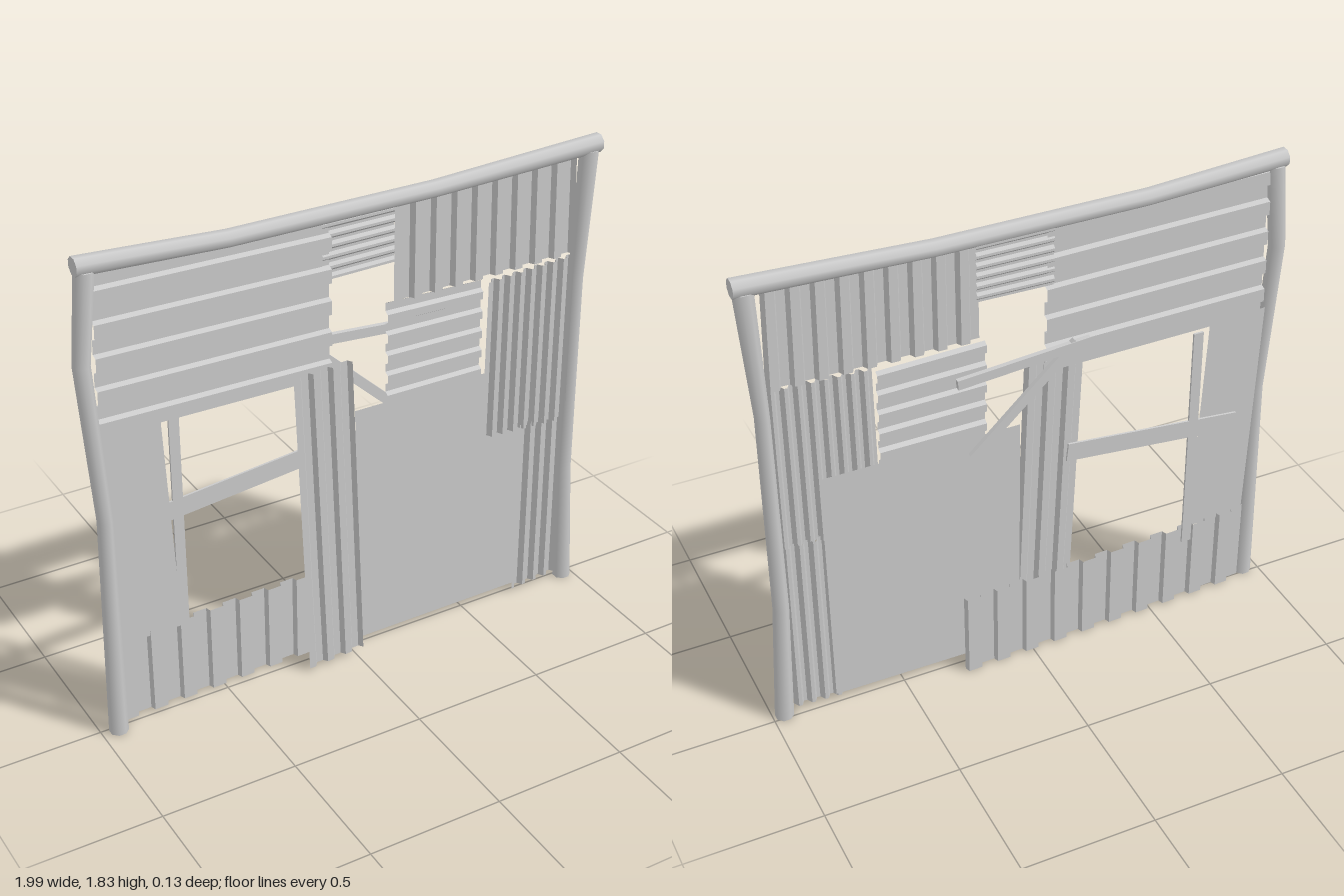
import * as THREE from 'three';

const metal = new THREE.MeshStandardMaterial({ color: 0xcccccc, side: THREE.DoubleSide, flatShading: true });
const wood = new THREE.MeshStandardMaterial({ color: 0xcccccc });

export function createModel() {
  const group = new THREE.Group();
  const add = (name, geometry, material) => {
    const mesh = new THREE.Mesh(geometry, material);
    mesh.name = name;
    group.add(mesh);
    return mesh;
  };

  // Bent pole: rings [x, y, radius] along an upright or level run
  function pole(name, rings, level) {
    const n = rings.length - 1;
    const geo = new THREE.CylinderGeometry(1, 1, n, 8, n, false, Math.PI / 8);
    const p = geo.attributes.position;
    for (let i = 0; i < p.count; i++) {
      const [x, y, r] = rings[Math.round(p.getY(i) + n / 2)];
      const s = r / Math.cos(Math.PI / 8), a = p.getX(i) * s, z = 0.019 + p.getZ(i) * 0.032 / Math.cos(Math.PI / 8);
      if (level) p.setXYZ(i, x, y - a, z);
      else p.setXYZ(i, x + a, y, z);
    }
    // Level runs need their side normals turned along with the pole
    const nor = geo.attributes.normal;
    if (level) for (let i = 0; i < nor.count; i++) nor.setXYZ(i, nor.getY(i), -nor.getX(i), nor.getZ(i));
    add(name, geo, wood);
  }

  // Folded sheet: corners bl, br, tl, tr; ribs run upright or level.
  // z0, z1: mean depth at each side; ramp: share of a half period that slopes
  function sheet(name, [bl, br, tl, tr], { upright = true, ribs, depth = 0.02, z0, z1 = z0, ramp = 0.12 }) {
    const stops = [[0, 1]];
    for (let k = 0; k < ribs * 2; k++) {
      const s = k % 2 ? -1 : 1;
      stops.push([(k + 1 - ramp) / (ribs * 2), s], [(k + 1) / (ribs * 2), -s]);
    }
    const mix = (a, b, t) => [a[0] + (b[0] - a[0]) * t, a[1] + (b[1] - a[1]) * t];
    const pos = [], idx = [];
    stops.forEach(([t, s], i) => {
      const z = z0 + (z1 - z0) * t + s * depth / 2;
      const a = upright ? mix(bl, br, t) : mix(br, tr, t);
      const b = upright ? mix(tl, tr, t) : mix(bl, tl, t);
      pos.push(...a, z, ...b, z);
      if (i) {
        const k = i * 2;
        idx.push(k - 2, k, k + 1, k - 2, k + 1, k - 1);
      }
    });
    const geo = new THREE.BufferGeometry();
    geo.setAttribute('position', new THREE.Float32BufferAttribute(pos, 3));
    geo.setIndex(idx);
    const flat = geo.toNonIndexed();
    flat.computeVertexNormals();
    add(name, flat, metal);
  }

  // Flat plate from its outline corners
  function plate(name, corners, z) {
    const geo = new THREE.ShapeGeometry(new THREE.Shape(corners.map(c => new THREE.Vector2(...c))));
    add(name, geo.translate(0, 0, z), metal);
  }

  // Batten between two points in the wall plane
  function batten(name, [x0, y0], [x1, y1], width, thick, z) {
    const mesh = add(name, new THREE.BoxGeometry(Math.hypot(x1 - x0, y1 - y0), width, thick), wood);
    mesh.position.set((x0 + x1) / 2, (y0 + y1) / 2, z);
    mesh.rotation.z = Math.atan2(y1 - y0, x1 - x0);
  }

  // Frame
  pole('rightPost', [[-0.938, 0, 0.032], [-0.932, 0.87, 0.024], [-0.972, 1.46, 0.027], [-0.94, 1.78, 0.031]]);
  pole('leftPost', [[0.957, 0, 0.032], [0.932, 0.5, 0.026], [0.932, 1.3, 0.023], [0.955, 1.78, 0.033]]);
  pole('topBeam', [[-0.975, 1.8, 0.031], [-0.45, 1.772, 0.027], [0.32, 1.772, 0.027], [0.993, 1.798, 0.032]], true);

  // Upper sheets
  sheet('upperRightSheet', [[-0.93, 1.185], [-0.075, 1.175], [-0.92, 1.77], [-0.075, 1.755]],
    { upright: false, ribs: 5, z0: 0.015 });
  sheet('upperMiddleSheet', [[-0.1, 1.53], [0.18, 1.535], [-0.1, 1.76], [0.18, 1.76]],
    { upright: false, ribs: 6, z0: 0.005, depth: 0.01, ramp: 0.5 });
  sheet('upperLeftSheet', [[0.165, 1.385], [0.91, 1.395], [0.165, 1.755], [0.9, 1.765]],
    { ribs: 9, z0: 0.015, ramp: 0.25 });

  // Sheets around the door plate
  sheet('middleSheet', [[0.16, 0.99], [0.55, 0.99], [0.155, 1.385], [0.545, 1.375]],
    { upright: false, ribs: 5, z0: -0.005, depth: 0.016, ramp: 0.25 });
  plate('doorPlate', [[0.03, 0.025], [0.76, 0.03], [0.76, 1.0], [0.025, 1.0]], 0.008);
  sheet('sideSheet', [[0.54, 0.745], [0.91, 0.725], [0.545, 1.375], [0.908, 1.392]],
    { ribs: 8, z0: 0.026, ramp: 0.5 });
  sheet('lowerSideSheet', [[0.715, 0.018], [0.915, 0.03], [0.715, 0.75], [0.91, 0.75]],
    { ribs: 4, z0: 0.018, ramp: 0.5 });

  // Sheets around the window
  plate('windowSideSheet', [[-0.89, 0.33], [-0.66, 0.33], [-0.702, 1.21], [-0.925, 1.23]], -0.012);
  sheet('frontSheet', [[-0.195, 0.008], [0.03, 0.022], [-0.245, 1.222], [-0.018, 1.232]],
    { ribs: 3, z0: 0.054, depth: 0.018, ramp: 0.3 });
  sheet('lowerSheet', [[-0.9, 0.008], [0.273, 0.003], [-0.9, 0.35], [0.273, 0.342]],
    { ribs: 10, z0: -0.016, z1: -0.053 });

  // Battens on the back
  batten('windowUpright', [-0.645, 0.28], [-0.647, 1.21], 0.038, 0.008, -0.03);
  batten('windowCrossbar', [-0.82, 0.783], [-0.14, 0.853], 0.072, 0.008, -0.03);
  batten('gapCrossbar', [-0.22, 1.3], [0.272, 1.262], 0.036, 0.018, -0.03);
  batten('gapDiagonal', [-0.17, 1.31], [0.22, 0.945], 0.036, 0.016, -0.028);
  return group;
}
